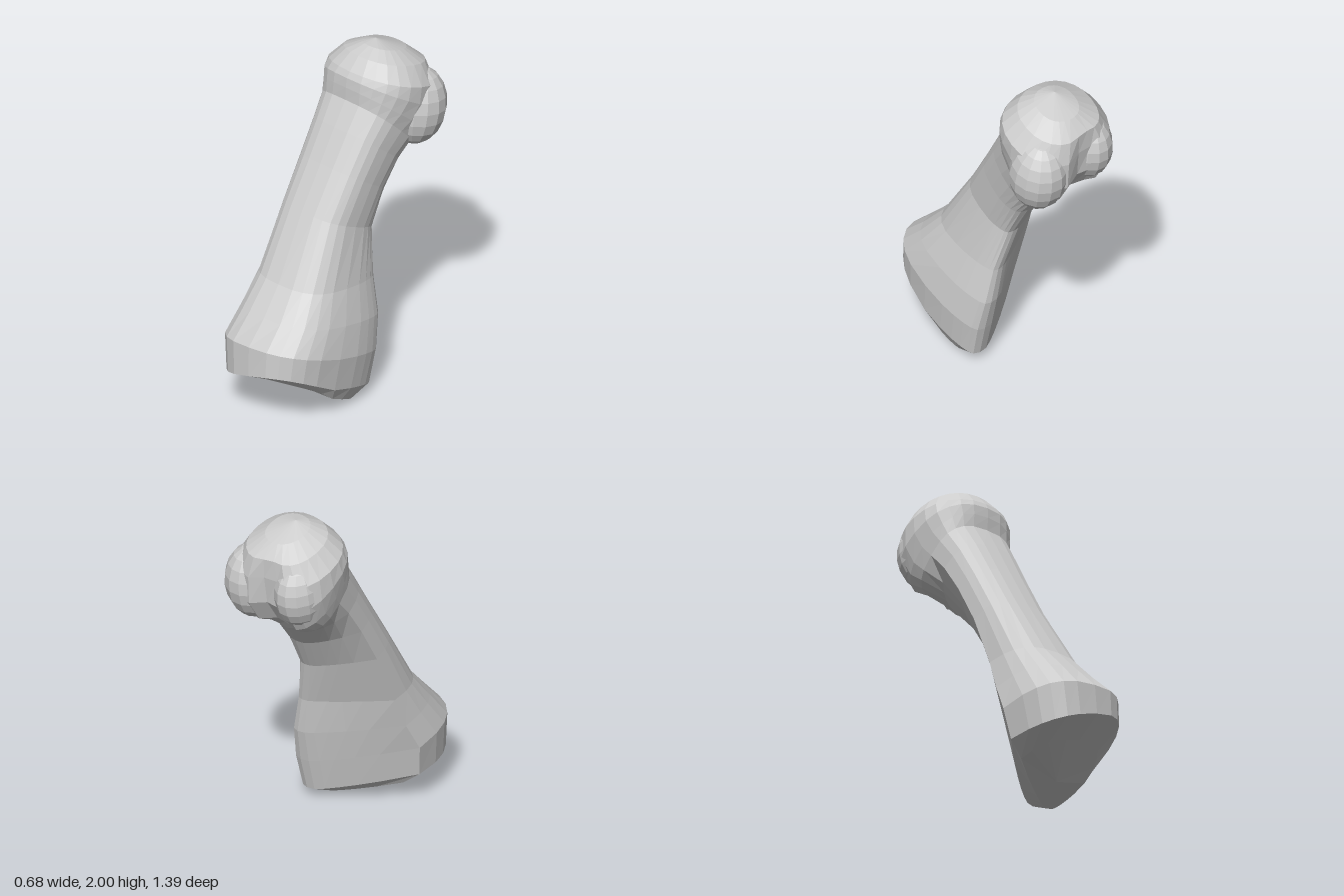
import * as THREE from 'three';

const SIDES = 24;

// Cross-sections from the base to the head, each tilted square to the shaft.
// f, b: front and back edge as [z, y]; x: side limits; cut: how far the right side
// moves in towards the back; tilt: slope of the front edge; groove: dent between
// the condyles; p: squareness of the outline.
const SECTIONS = [
  { f: [0.52, 0.21], b: [0.09, 0.0], x: [-0.2, 0.28], cut: 0.32, tilt: 0.24 },
  { f: [0.70, 0.31], b: [-0.04, 0.06], x: [-0.3, 0.32], cut: 0.4, tilt: 0.28 },
  { f: [0.69, 0.49], b: [-0.09, 0.26], x: [-0.33, 0.335], cut: 0.42, tilt: 0.08 },
  { f: [0.56, 0.62], b: [-0.13, 0.46], x: [-0.305, 0.3], cut: 0.4 },
  { f: [0.42, 0.77], b: [-0.14, 0.68], x: [-0.285, 0.24], cut: 0.36 },
  { f: [0.2, 1.13], b: [-0.19, 0.95], x: [-0.28, 0.18], cut: 0.28 },
  { f: [0.05, 1.38], b: [-0.29, 1.15], x: [-0.28, 0.19], cut: 0.22 },
  { f: [-0.06, 1.57], b: [-0.4, 1.29], x: [-0.285, 0.205], cut: 0.12 },
  { f: [-0.145, 1.71], b: [-0.5, 1.36], x: [-0.3, 0.225], groove: 0.04 },
  { f: [-0.145, 1.79], b: [-0.6, 1.4], x: [-0.32, 0.255], groove: 0.07, p: 0.8 },
  { f: [-0.15, 1.85], b: [-0.68, 1.53], x: [-0.34, 0.28], groove: 0.07, p: 0.85 },
  { f: [-0.17, 1.885], b: [-0.69, 1.7], x: [-0.33, 0.28], groove: 0.06, p: 0.9 },
  { f: [-0.24, 1.955], b: [-0.67, 1.83], x: [-0.25, 0.2], groove: 0.03, p: 0.9 },
  { f: [-0.32, 1.99], b: [-0.57, 1.92], x: [-0.14, 0.1], p: 0.9 },
];

const soften = (v, p) => Math.sign(v) * Math.pow(Math.abs(v), p);

function sectionPoint({ f, b, x, cut = 0, tilt = 0, groove = 0, p = 0.72 }, angle) {
  const s = soften(Math.cos(angle), p);
  const t = soften(Math.sin(angle), p);
  const back = (1 - t) / 2;
  const px = THREE.MathUtils.lerp(x[0] + cut * Math.max(0, -t), x[1], (s + 1) / 2);
  const dent = t < 0 ? groove * Math.exp(-(((px + 0.07) / 0.09) ** 2)) : 0;
  return [
    px,
    THREE.MathUtils.lerp(f[1], b[1], back) + tilt * px * Math.max(0, t) + dent * 0.6,
    THREE.MathUtils.lerp(f[0], b[0], back) + dent,
  ];
}

// Skin the sections and close both ends with fans
function loft(sections, bottom, top) {
  const pos = [], index = [];
  for (const section of sections)
    for (let j = 0; j < SIDES; j++) pos.push(...sectionPoint(section, (j / SIDES) * Math.PI * 2));
  const last = (sections.length - 1) * SIDES;
  const low = sections.length * SIDES, high = low + 1;
  pos.push(...bottom, ...top);
  for (let j = 0; j < SIDES; j++) {
    const n = (j + 1) % SIDES;
    for (let r = 0; r < last; r += SIDES) {
      const a = r + j, b = r + n, c = a + SIDES, d = b + SIDES;
      index.push(a, c, b, b, c, d);
    }
    index.push(low, j, n, high, last + n, last + j);
  }
  const geo = new THREE.BufferGeometry();
  geo.setAttribute('position', new THREE.Float32BufferAttribute(pos, 3));
  geo.setIndex(index);
  geo.computeVertexNormals();
  return geo;
}

export function createModel() {
  const group = new THREE.Group();
  group.name = 'footBone';
  const bone = new THREE.MeshStandardMaterial({ color: 0xcccccc, flatShading: true });
  bone.name = 'bone grey';

  // Flared base, shaft and domed head in one skin
  const shaft = new THREE.Mesh(loft(SECTIONS, [0.1, 0.07, 0.27], [-0.04, 2.0, -0.4]), bone);
  shaft.name = 'boneShaft';
  group.add(shaft);

  // Rounded knuckles behind the head
  const knuckles = [
    { name: 'leftCondyle', at: [0.16, 1.6, -0.52], size: [0.165, 0.23, 0.175] },
    { name: 'rightCondyle', at: [-0.18, 1.64, -0.5], size: [0.14, 0.21, 0.175] },
  ];
  for (const { name, at, size } of knuckles) {
    const mesh = new THREE.Mesh(new THREE.SphereGeometry(1, 14, 10), bone);
    mesh.name = name;
    mesh.position.set(...at);
    mesh.scale.set(...size);
    mesh.rotation.x = -0.15;
    group.add(mesh);
  }
  return group;
}
